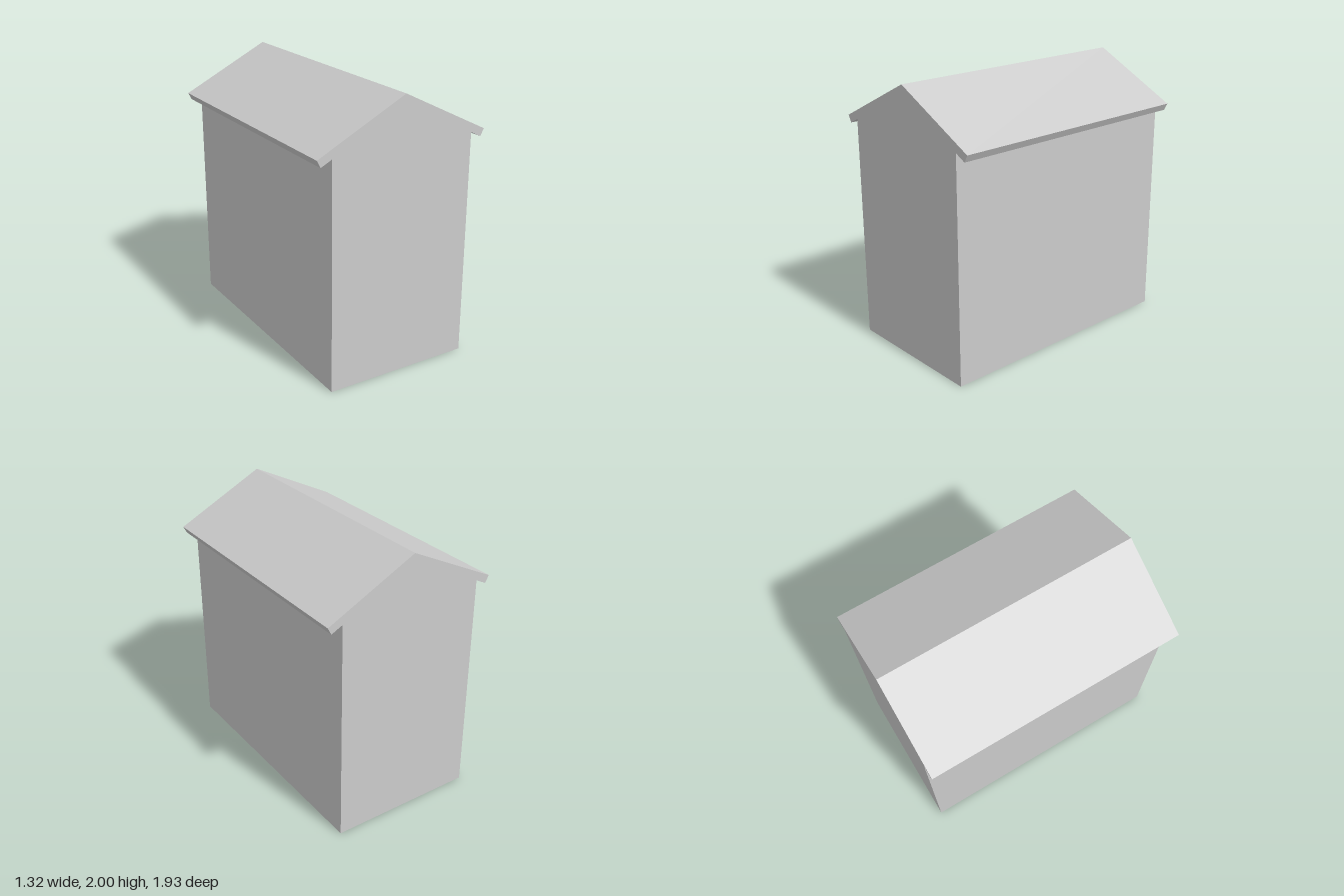
import * as THREE from 'three';

const HALF_DEPTH = 0.965;

// Half of the gable outline, from the foot of the wall up to the ridge
const HALF = [[0.55, 0], [0.55, 1.66], [0.633, 1.618], [0.66, 1.67], [0, 2]];
const NAMES = ['Wall', 'EaveUnderside', 'Fascia', 'RoofSlope'];

export function createModel() {
  const group = new THREE.Group();
  const material = new THREE.MeshStandardMaterial({
    color: 0xcccccc, flatShading: true, side: THREE.DoubleSide,
  });
  const add = (name, geometry) => {
    const mesh = new THREE.Mesh(geometry, material);
    mesh.name = name;
    group.add(mesh);
    return mesh;
  };

  // Flat panel running the full depth between outline points a and b
  const panel = (name, a, b) => {
    const d = HALF_DEPTH;
    const af = [...a, d], ab = [...a, -d], bf = [...b, d], bb = [...b, -d];
    const geometry = new THREE.BufferGeometry();
    geometry.setAttribute('position',
      new THREE.Float32BufferAttribute([af, ab, bb, af, bb, bf].flat(), 3));
    geometry.computeVertexNormals();
    add(name, geometry);
  };

  // Walls, eaves and roof slopes on both sides; the bottom stays open
  const mirror = ([x, y]) => [-x, y];
  NAMES.forEach((name, i) => {
    panel('left' + name, HALF[i], HALF[i + 1]);
    panel('right' + name, mirror(HALF[i + 1]), mirror(HALF[i]));
  });

  // Gable ends, flush with the roof edges
  const outline = [...HALF, ...HALF.slice(0, -1).reverse().map(mirror)];
  const shape = new THREE.Shape(outline.map(([x, y]) => new THREE.Vector2(x, y)));
  add('frontGable', new THREE.ShapeGeometry(shape)).position.z = HALF_DEPTH;
  const back = add('backGable', new THREE.ShapeGeometry(shape));
  back.rotation.y = Math.PI;
  back.position.z = -HALF_DEPTH;

  return group;
}
